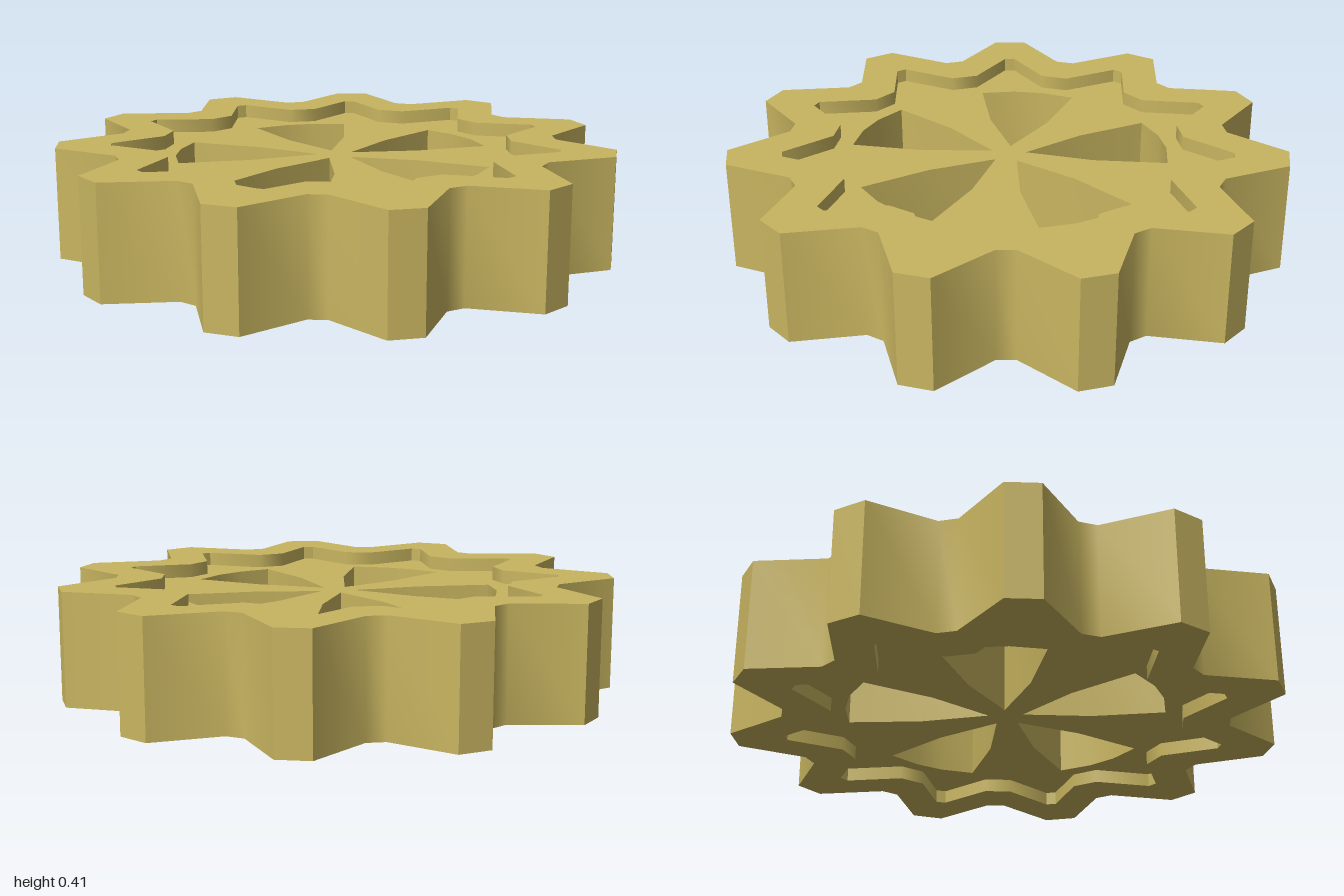
import * as THREE from 'three';
import { toCreasedNormals } from 'three/addons/utils/BufferGeometryUtils.js';

const TEETH = 11, SPOKES = 5;
const HEIGHT = 0.405, RECESS = 0.05;

// Point at radius r along a direction, shifted sideways by s
function polar(r, s, angle) {
  const c = Math.cos(angle), n = Math.sin(angle);
  return new THREE.Vector2(r * c - s * n, r * n + s * c);
}

// Toothed outline with flat tips and flat valleys
function toothedOutline(tipR, tipHalf, valleyR, valleyHalf) {
  const points = [];
  const step = (Math.PI * 2) / TEETH;
  const start = THREE.MathUtils.degToRad(89.25);
  for (let i = 0; i < TEETH; i++) {
    const a = start + i * step, v = a + step / 2;
    points.push(polar(tipR, -tipHalf, a), polar(tipR, tipHalf, a));
    points.push(polar(valleyR, -valleyHalf, v), polar(valleyR, valleyHalf, v));
  }
  return points;
}

// Petal-shaped opening between two spokes
function petal(angle) {
  const side = [[0.29, 0.108], [0.545, 0.178], [0.576, 0.055]];
  return [
    polar(0.065, 0, angle),
    ...side.map(([r, s]) => polar(r, -s, angle)),
    ...side.slice().reverse().map(([r, s]) => polar(r, s, angle)),
  ];
}

// Flat plate lying in xz, from y0 upward, sharp only at strong corners
function plate(name, outline, holes, y0, depth, material) {
  const shape = new THREE.Shape(outline);
  holes.forEach((h) => shape.holes.push(new THREE.Path(h)));
  const geo = new THREE.ExtrudeGeometry(shape, { depth, bevelEnabled: false });
  geo.rotateX(-Math.PI / 2);
  geo.translate(0, y0, 0);
  const mesh = new THREE.Mesh(toCreasedNormals(geo, THREE.MathUtils.degToRad(49)), material);
  mesh.name = name;
  return mesh;
}

export function createModel() {
  const group = new THREE.Group();
  group.name = 'gearWheel';
  const brass = new THREE.MeshStandardMaterial({ color: 0xc8b560 });
  brass.name = 'brass';

  const outer = toothedOutline(0.997, 0.06, 0.8, 0.034);
  const inner = toothedOutline(0.805, 0.019, 0.633, 0.05);

  const petals = [];
  for (let i = 0; i < SPOKES; i++) petals.push(petal(Math.PI + (i * Math.PI * 2) / SPOKES));

  // Full-height rim, with a thinner spoked web recessed on both faces
  group.add(plate('toothedRim', outer, [inner], 0, HEIGHT, brass));
  group.add(plate('spokedWeb', inner, petals, RECESS, HEIGHT - 2 * RECESS, brass));
  group.position.z = 0.005;
  return group;
}
